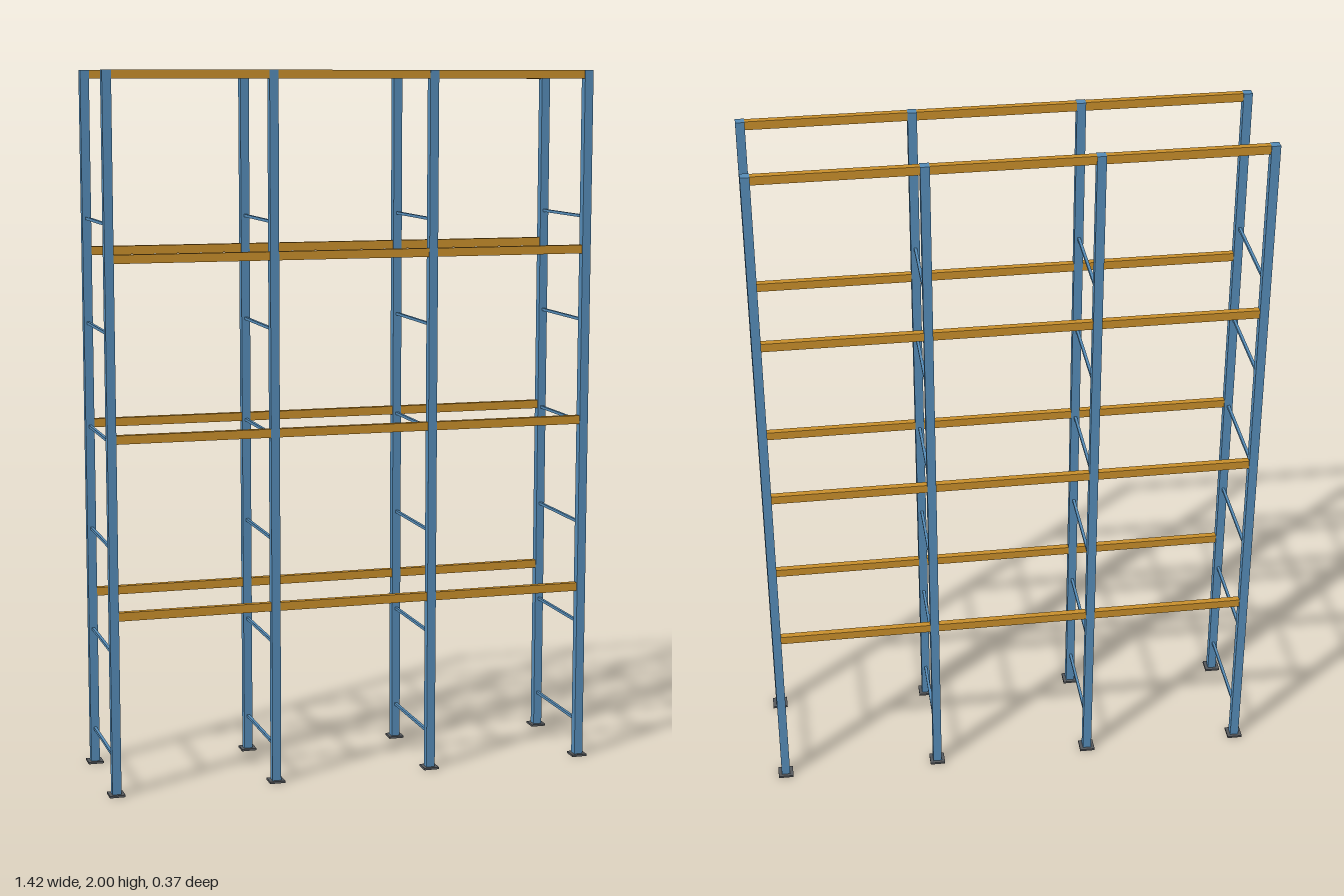
import * as THREE from 'three';

const material = (name, color) => {
  const m = new THREE.MeshStandardMaterial({ color });
  m.name = name;
  return m;
};

export function createModel() {
  const rack = new THREE.Group();
  rack.name = 'palletRack';
  const blue = material('steelBlue', 0x558cb8);
  const orange = material('beamOrange', 0xc98f2b);
  const grey = material('footGrey', 0x55585c);

  const box = (parent, name, mat, size, pos) => {
    const mesh = new THREE.Mesh(new THREE.BoxGeometry(...size), mat);
    mesh.name = name;
    mesh.position.set(...pos);
    parent.add(mesh);
  };

  const frameX = [-0.69, -0.23, 0.23, 0.69];
  const halfDepth = 0.165;
  const post = 0.025;
  const plate = 0.006;

  // Upright frames: two posts on foot plates, joined by thin rungs
  for (const x of frameX) {
    const frame = new THREE.Group();
    frame.name = 'uprightFrame';
    frame.position.x = x;
    for (const z of [-halfDepth, halfDepth]) {
      box(frame, 'post', blue, [post, 2 - plate, post], [0, 1 + plate / 2, z]);
      box(frame, 'footPlate', grey, [0.044, plate, 0.044], [0, plate / 2, z]);
    }
    for (let i = 0; i < 6; i++) {
      box(frame, 'rung', blue, [0.008, 0.008, 2 * halfDepth - post], [0, 0.105 + i * 0.2965, 0]);
    }
    rack.add(frame);
  }

  // Load beams: four levels, front and back, one per bay
  for (const y of [0.51, 1.003, 1.495, 1.988]) {
    for (const z of [-halfDepth, halfDepth]) {
      for (const x of [-0.46, 0, 0.46]) {
        box(rack, 'loadBeam', orange, [0.46 - post, 0.024, 0.018], [x, y, z]);
      }
    }
  }
  return rack;
}
